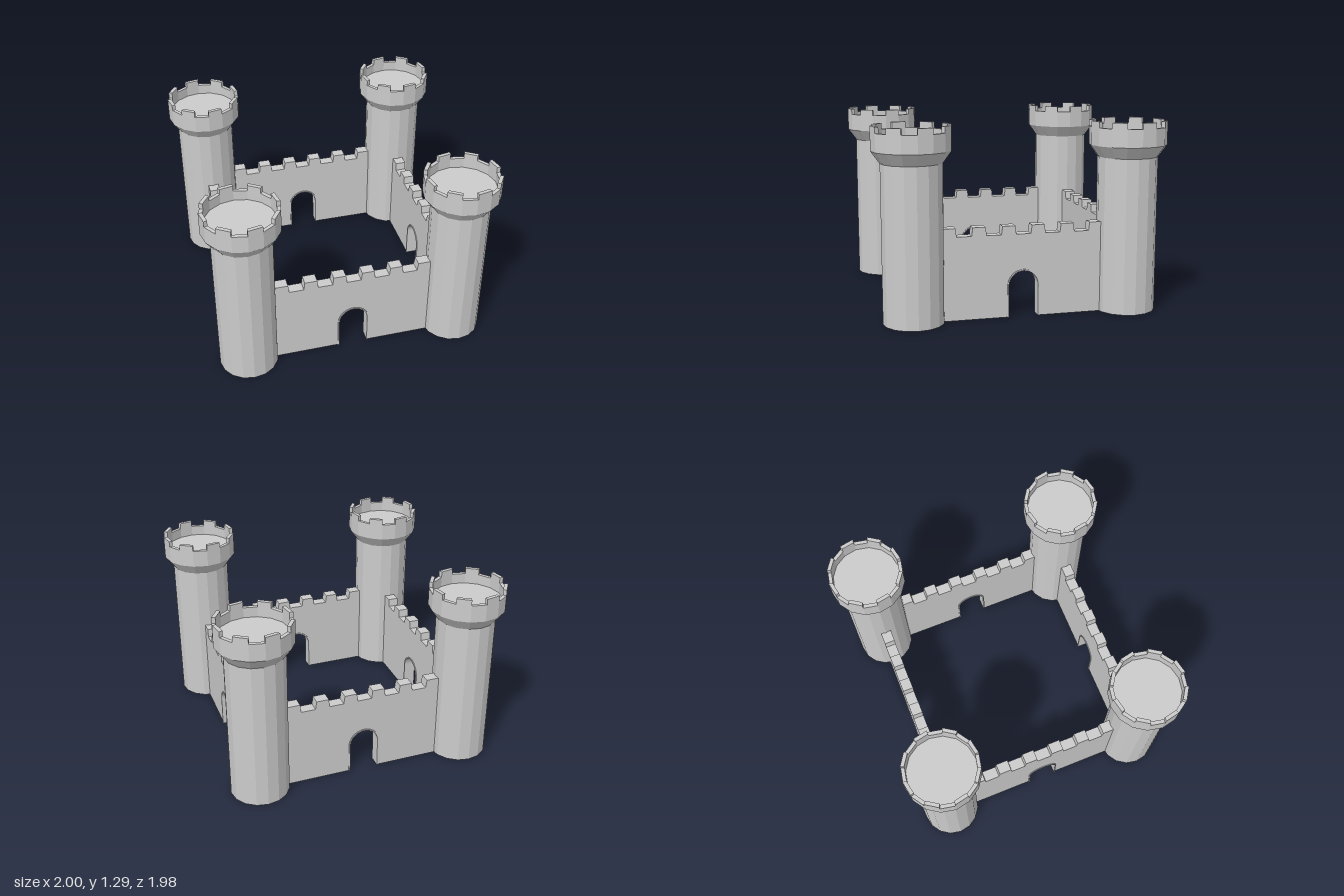
import * as THREE from 'three';

const SIDES = 16;
const STEP = (Math.PI * 2) / SIDES;
const stone = new THREE.MeshStandardMaterial({ color: 0xcccccc, flatShading: true });

function part(name, geometry) {
  const mesh = new THREE.Mesh(geometry, stone);
  mesh.name = name;
  return mesh;
}

// Faceted tower: shaft, flared collar, parapet ring and sunken platform
function makeTower() {
  const tower = new THREE.Group();
  tower.name = 'tower';
  const outer = 0.26, inner = 0.234, rim = 1.25, top = 1.29;
  const profile = [
    [0, 0], [0.202, 0], [0.202, 1.05], [0.26, 1.13], [outer, rim],
    [inner, rim], [inner, 1.18], [0, 1.18],
  ].map(([r, y]) => new THREE.Vector2(r, y));
  tower.add(part('towerBody', new THREE.LatheGeometry(profile, SIDES)));

  // One merlon on every second facet of the parapet
  for (let k = 0; k < SIDES; k += 2) {
    const corner = (r, i) => new THREE.Vector2(r * Math.sin(i * STEP), -r * Math.cos(i * STEP));
    const shape = new THREE.Shape([corner(outer, k), corner(outer, k + 1), corner(inner, k + 1), corner(inner, k)]);
    const geometry = new THREE.ExtrudeGeometry(shape, { depth: top - rim, bevelEnabled: false });
    geometry.rotateX(-Math.PI / 2).translate(0, rim, 0);
    tower.add(part('towerMerlon', geometry));
  }
  return tower;
}

// Traces a round-headed doorway into a path, standing on y = 0
function tracePortal(path, r, spring) {
  path.moveTo(r, 0);
  path.lineTo(r, spring);
  path.absarc(0, spring, r, 0, Math.PI, false);
  path.lineTo(-r, 0);
  return path;
}

function extrudeCentred(shape, depth) {
  return new THREE.ExtrudeGeometry(shape, { depth, bevelEnabled: false, curveSegments: 12 })
    .translate(0, 0, -depth / 2);
}

// Wall with an arched gateway and tapered merlons
function makeWall() {
  const wall = new THREE.Group();
  wall.name = 'wall';
  const half = 0.6, height = 0.56, thick = 0.075, spring = 0.212;

  const shape = new THREE.Shape();
  shape.moveTo(half, 0);
  shape.lineTo(half, height);
  shape.lineTo(-half, height);
  shape.lineTo(-half, 0);
  shape.lineTo(-0.105, 0);
  shape.lineTo(-0.105, spring);
  shape.absarc(0, spring, 0.105, Math.PI, 0, true);
  shape.lineTo(0.105, 0);
  wall.add(part('wallPanel', extrudeCentred(shape, thick)));

  // Thin raised lining of the gateway
  const frame = tracePortal(new THREE.Shape(), 0.109, spring);
  frame.lineTo(-0.1, 0);
  frame.lineTo(-0.1, spring);
  frame.absarc(0, spring, 0.1, Math.PI, 0, true);
  frame.lineTo(0.1, 0);
  wall.add(part('gateFrame', extrudeCentred(frame, 0.087)));

  for (let i = 0; i < 6; i++) {
    const x = -0.5 + i * 0.2;
    const merlon = new THREE.Shape([
      new THREE.Vector2(-0.05, 0), new THREE.Vector2(0.05, 0),
      new THREE.Vector2(0.043, 0.057), new THREE.Vector2(-0.043, 0.057),
    ]);
    wall.add(part('wallMerlon', extrudeCentred(merlon, thick).translate(x, height, 0)));
  }
  return wall;
}

export function createModel() {
  const castle = new THREE.Group();
  castle.name = 'castle';
  const cx = 0.74, cz = 0.73;

  for (const sx of [-1, 1]) {
    for (const sz of [-1, 1]) {
      const tower = makeTower();
      tower.position.set(sx * cx, 0, sz * cz);
      castle.add(tower);
    }
  }

  // Four walls joining the towers
  for (let i = 0; i < 4; i++) {
    const wall = makeWall();
    const angle = (i * Math.PI) / 2;
    wall.position.set(Math.sin(angle) * cx, 0, Math.cos(angle) * cz);
    wall.rotation.y = angle;
    castle.add(wall);
  }
  return castle;
}
